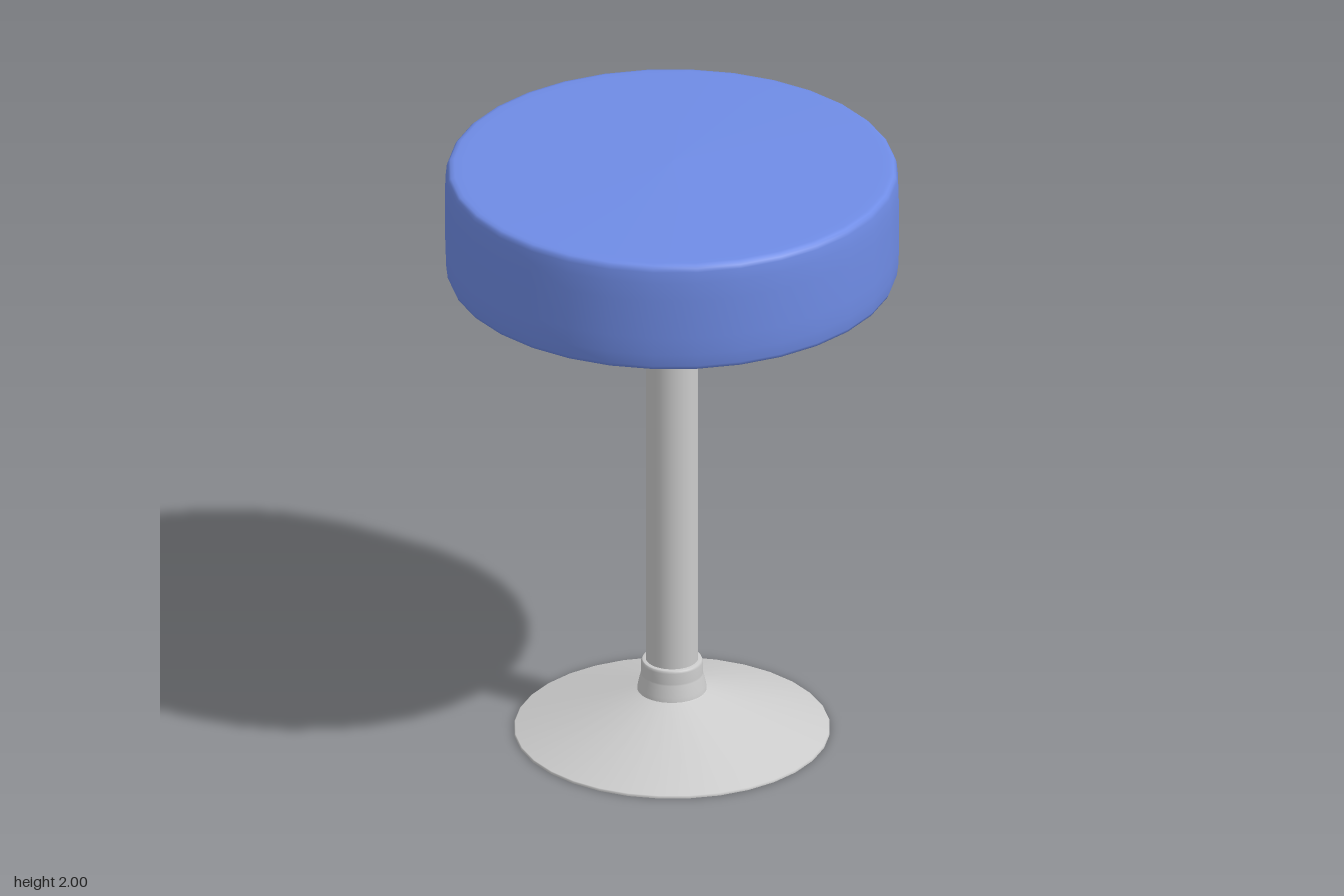
import * as THREE from 'three';

const SEGMENTS = 32;
const material = (color, side = THREE.FrontSide) => new THREE.MeshStandardMaterial({ color, side });

// Surface of revolution from [radius, y] pairs listed bottom to top
function lathe(name, profile, mat) {
  const points = profile.map(([r, y]) => new THREE.Vector2(r, y));
  const mesh = new THREE.Mesh(new THREE.LatheGeometry(points, SEGMENTS), mat);
  mesh.name = name;
  return mesh;
}

// Tapered round bar between two points
function bar(name, from, to, r0, r1, mat) {
  const dir = to.clone().sub(from);
  const mesh = new THREE.Mesh(new THREE.CylinderGeometry(r1, r0, dir.length(), 16), mat);
  mesh.position.copy(from).add(to).multiplyScalar(0.5);
  mesh.quaternion.setFromUnitVectors(new THREE.Vector3(0, 1, 0), dir.normalize());
  mesh.name = name;
  return mesh;
}

export function createModel() {
  const model = new THREE.Group();
  model.name = 'barStool';
  const blue = material(0x6f8ce6);
  const black = material(0x111111);
  const metal = material(0xcccccc);
  const shell = material(0xcccccc, THREE.DoubleSide);

  // Hollow conical foot, open underneath
  model.add(lathe('base', [[0.5, 0], [0.5, 0.006], [0.497, 0.008], [0.114, 0.143], [0.11, 0.145]], shell));

  // Stepped neck joining the foot and the column
  model.add(lathe('neck', [
    [0.11, 0.145], [0.108, 0.16], [0.099, 0.198], [0.098, 0.203],
    [0.098, 0.24], [0.095, 0.247], [0.093, 0.249], [0.083, 0.25],
  ], shell));

  // Straight tube
  const column = new THREE.Mesh(
    new THREE.CylinderGeometry(0.083, 0.083, 1.25, SEGMENTS, 1, true), shell);
  column.position.y = 0.25 + 1.25 / 2;
  column.name = 'column';
  model.add(column);

  // Collar under the seat
  model.add(lathe('collar', [
    [0.08, 1.46], [0.099, 1.46], [0.102, 1.461], [0.107, 1.466], [0.107, 1.47], [0.107, 1.615],
  ], black));

  // Height lever pointing backwards and down
  const lever = new THREE.Group();
  lever.name = 'lever';
  const joint = new THREE.Vector3(0, 1.455, -0.32);
  lever.add(bar('leverRod', new THREE.Vector3(0, 1.548, -0.08), joint, 0.015, 0.015, metal));
  lever.add(bar('leverGrip', joint, new THREE.Vector3(0, 1.416, -0.443), 0.02, 0.029, black));
  model.add(lever);

  // Padded seat with rounded rims and a slightly raised top
  model.add(lathe('seat', [
    [0, 1.612], [0.695, 1.612], [0.7, 1.612], [0.708, 1.616], [0.713, 1.628],
    [0.718, 1.67], [0.72, 1.73], [0.72, 1.86], [0.718, 1.92], [0.714, 1.958],
    [0.71, 1.97], [0.703, 1.977], [0.69, 1.98], [0.66, 1.981], [0, 2],
  ], blue));

  return model;
}
